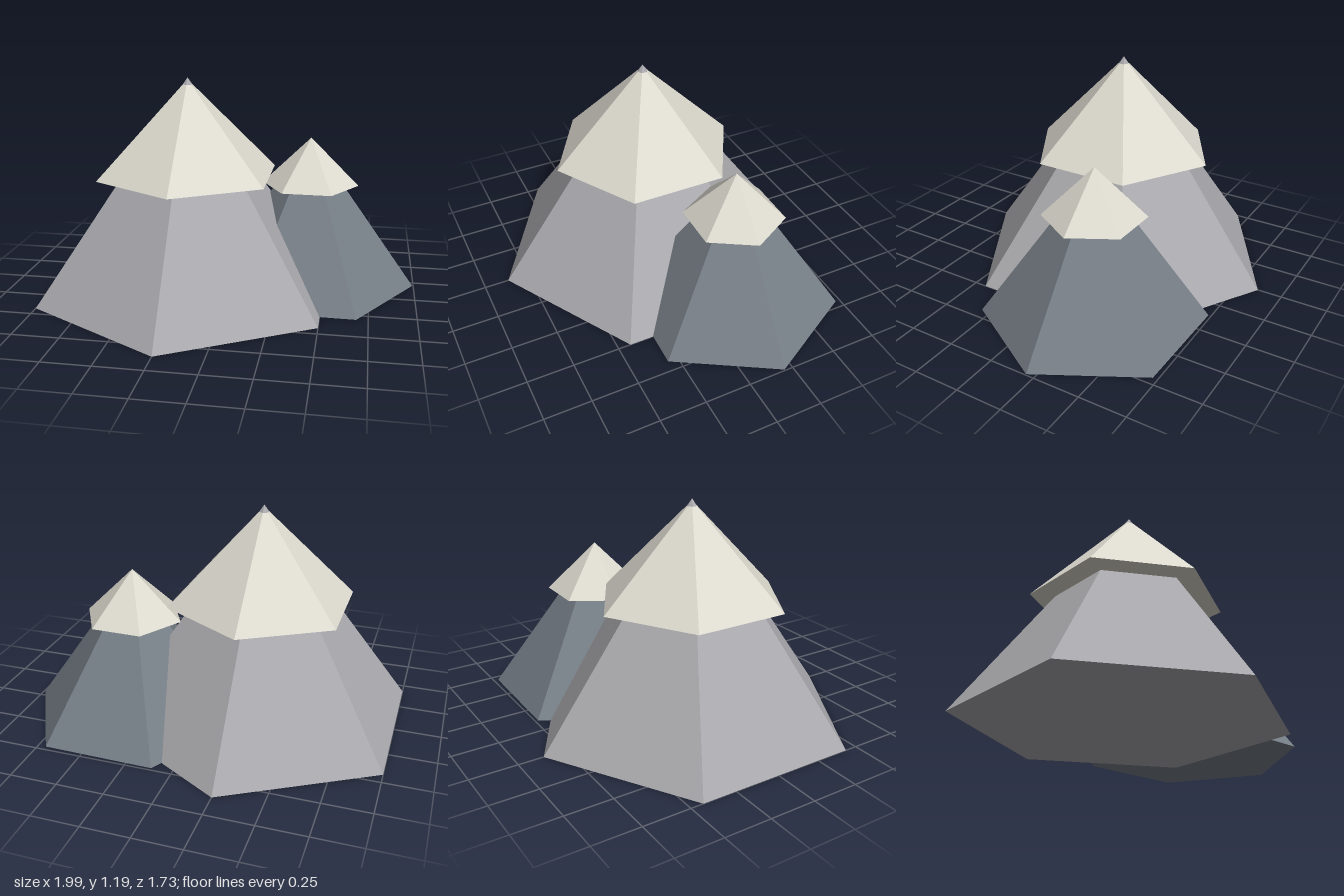
import * as THREE from 'three';

export function createModel() {
  const mat = (name, color) => {
    const m = new THREE.MeshStandardMaterial({ color, flatShading: true });
    m.name = name;
    return m;
  };
  const paleRock = mat('pale rock', 0xaaaaae);
  const slateRock = mat('slate rock', 0x767e86);
  const snow = mat('snow', 0xdcd9ce);

  // Closed six-sided cone standing on height y
  const hexCone = (name, material, radius, height, y) => {
    const mesh = new THREE.Mesh(new THREE.ConeGeometry(radius, height, 6), material);
    mesh.name = name;
    mesh.position.y = y + height / 2;
    return mesh;
  };

  // A peak: rock cone plus an overhanging snow cap
  const peak = (name, x, z, turn, rock, cap) => {
    const g = new THREE.Group();
    g.name = name;
    g.position.set(x, 0, z);
    g.rotation.y = THREE.MathUtils.degToRad(turn);
    g.add(hexCone(name + 'Rock', ...rock), hexCone(name + 'SnowCap', ...cap));
    return g;
  };

  const model = new THREE.Group();
  model.name = 'mountains';
  model.add(
    // The rock tip of the large peak just pokes through its snow
    peak('largePeak', -0.25, 0, 0, [paleRock, 0.866, 1.19, 0], [snow, 0.513, 0.515, 0.665]),
    // The small base sits a hair higher so the overlapping undersides do not coincide
    peak('smallPeak', 0.4, -0.215, 29, [slateRock, 0.595, 0.833, 0.001], [snow, 0.268, 0.265, 0.576])
  );
  return model;
}
